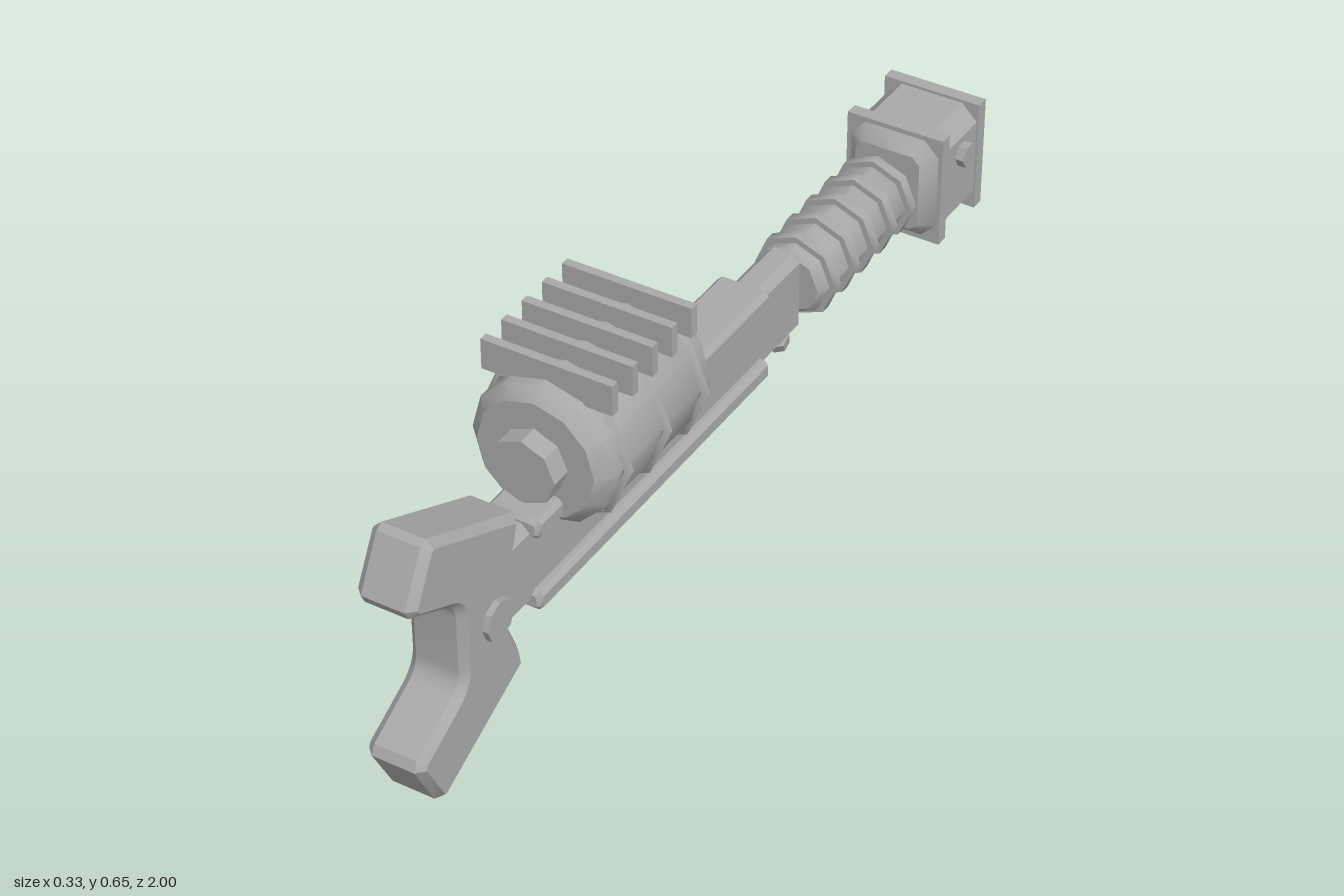
import * as THREE from 'three';
import { toCreasedNormals } from 'three/addons/utils/BufferGeometryUtils.js';

const steel = new THREE.MeshStandardMaterial({ color: 0xa8a8a8 });
steel.name = 'steel grey';

export function createModel() {
  const model = new THREE.Group();
  model.name = 'powerWrench';
  const axisY = 0.297; // height of the handle axis

  function add(name, geometry, x, y, z, crease = 0.6) {
    const mesh = new THREE.Mesh(toCreasedNormals(geometry, crease), steel);
    mesh.name = name;
    mesh.position.set(x, y, z);
    model.add(mesh);
    return mesh;
  }

  // Box chamfered on every edge, centred on its origin
  function chamferBox(w, h, d, c) {
    const a = w / 2, b = h / 2;
    const shape = new THREE.Shape([
      [a, -b + c], [a, b - c], [a - c, b], [-a + c, b],
      [-a, b - c], [-a, -b + c], [-a + c, -b], [a - c, -b],
    ].map(([x, y]) => new THREE.Vector2(x, y)));
    return new THREE.ExtrudeGeometry(shape, {
      depth: d - 2 * c, bevelEnabled: true, bevelSegments: 1,
      bevelThickness: c, bevelSize: c * 0.9, bevelOffset: -c * 0.9,
    }).translate(0, 0, -d / 2 + c);
  }

  // Solid of revolution along z with chamfered ends
  function barrel(radius, length, c, sides) {
    const h = length / 2;
    const points = [[0, -h], [radius - c, -h], [radius, -h + c], [radius, h - c], [radius - c, h], [0, h]];
    return new THREE.LatheGeometry(points.map(([r, y]) => new THREE.Vector2(r, y)), sides).rotateX(Math.PI / 2);
  }

  const discZ = (r, d, sides) => new THREE.CylinderGeometry(r, r, d, sides).rotateX(Math.PI / 2);
  const discX = (r, d, sides) => new THREE.CylinderGeometry(r, r, d, sides).rotateZ(Math.PI / 2);

  // Open jaw, drawn as a (z, y) profile
  const jaw = new THREE.Shape();
  jaw.moveTo(0.93, 0.585);
  jaw.lineTo(0.672, 0.463);
  jaw.lineTo(0.68, 0.42);
  jaw.lineTo(0.735, axisY);
  jaw.lineTo(0.68, 0.172);
  jaw.lineTo(0.672, 0.13);
  jaw.lineTo(0.93, 0.004);
  jaw.lineTo(0.945, 0.012);
  jaw.lineTo(1.0, 0.115);
  jaw.lineTo(0.99, 0.135);
  jaw.lineTo(0.888, 0.19);
  jaw.quadraticCurveTo(0.855, 0.207, 0.855, 0.24);
  jaw.lineTo(0.855, 0.355);
  jaw.quadraticCurveTo(0.855, 0.387, 0.888, 0.404);
  jaw.lineTo(0.99, 0.455);
  jaw.lineTo(1.0, 0.475);
  jaw.lineTo(0.945, 0.577);
  jaw.closePath();
  add('jaw', new THREE.ExtrudeGeometry(jaw, {
    depth: 0.088, bevelEnabled: true, bevelSegments: 1, curveSegments: 6,
    bevelThickness: 0.016, bevelSize: 0.014, bevelOffset: -0.014,
  }).translate(0, 0, -0.044).rotateY(-Math.PI / 2), 0, 0, 0, 0.5);
  add('jawBolt', discX(0.041, 0.146, 8), 0, axisY, 0.762);

  // Main beam with top and bottom rails
  add('beam', chamferBox(0.074, 0.18, 1.13, 0.017), 0, axisY, 0.21);
  for (const [name, y] of [['topRail', 0.378], ['bottomRail', 0.216]])
    add(name, chamferBox(0.112, 0.044, 0.81, 0.01), 0, y, 0.208);

  // Trigger stub under the beam
  const trigger = new THREE.Group();
  trigger.name = 'trigger';
  const stem = new THREE.Mesh(toCreasedNormals(new THREE.CylinderGeometry(0.018, 0.018, 0.05, 6), 0.6), steel);
  stem.name = 'triggerStem';
  const tip = new THREE.Mesh(toCreasedNormals(new THREE.CylinderGeometry(0.026, 0.022, 0.025, 6), 0.6), steel);
  tip.name = 'triggerTip';
  tip.position.y = -0.027;
  trigger.add(stem, tip);
  trigger.position.set(0, 0.206, -0.31);
  trigger.rotation.x = 0.45;
  model.add(trigger);

  // Motor drum with bands, cooling fins and front nut
  const drumY = 0.466;
  add('motorDrum', barrel(0.147, 0.378, 0.025, 12), 0, drumY, 0.345, 0.8);
  for (const z of [0.47, 0.34, 0.21])
    add('drumBand', new THREE.TorusGeometry(0.151, 0.012, 4, 8), 0, drumY, z, 0.8);
  for (let i = 0; i < 5; i++)
    add('coolingFin', new THREE.BoxGeometry(0.27, 0.064, 0.018), 0, 0.618, 0.483 - i * 0.066);
  add('motorNut', discZ(0.068, 0.05, 8), 0, drumY, 0.552);

  // Ribbed grip
  add('grip', barrel(0.077, 0.38, 0.012, 8), 0, axisY, -0.55, 0.8);
  for (let i = 0; i < 5; i++)
    add('gripRib', discZ(0.09, 0.023, 8), 0, axisY, -0.398 - i * 0.0765, 0.8);

  // Pommel block with two square plates and a side bolt
  add('pommel', chamferBox(0.208, 0.236, 0.244, 0.035), 0, 0.292, -0.878);
  for (const z of [-0.8, -0.955])
    add('pommelPlate', new THREE.BoxGeometry(0.216, 0.248, 0.028), 0, 0.292, z);
  add('pommelBolt', discX(0.026, 0.04, 6), 0.102, 0.337, -0.877);

  return model;
}
